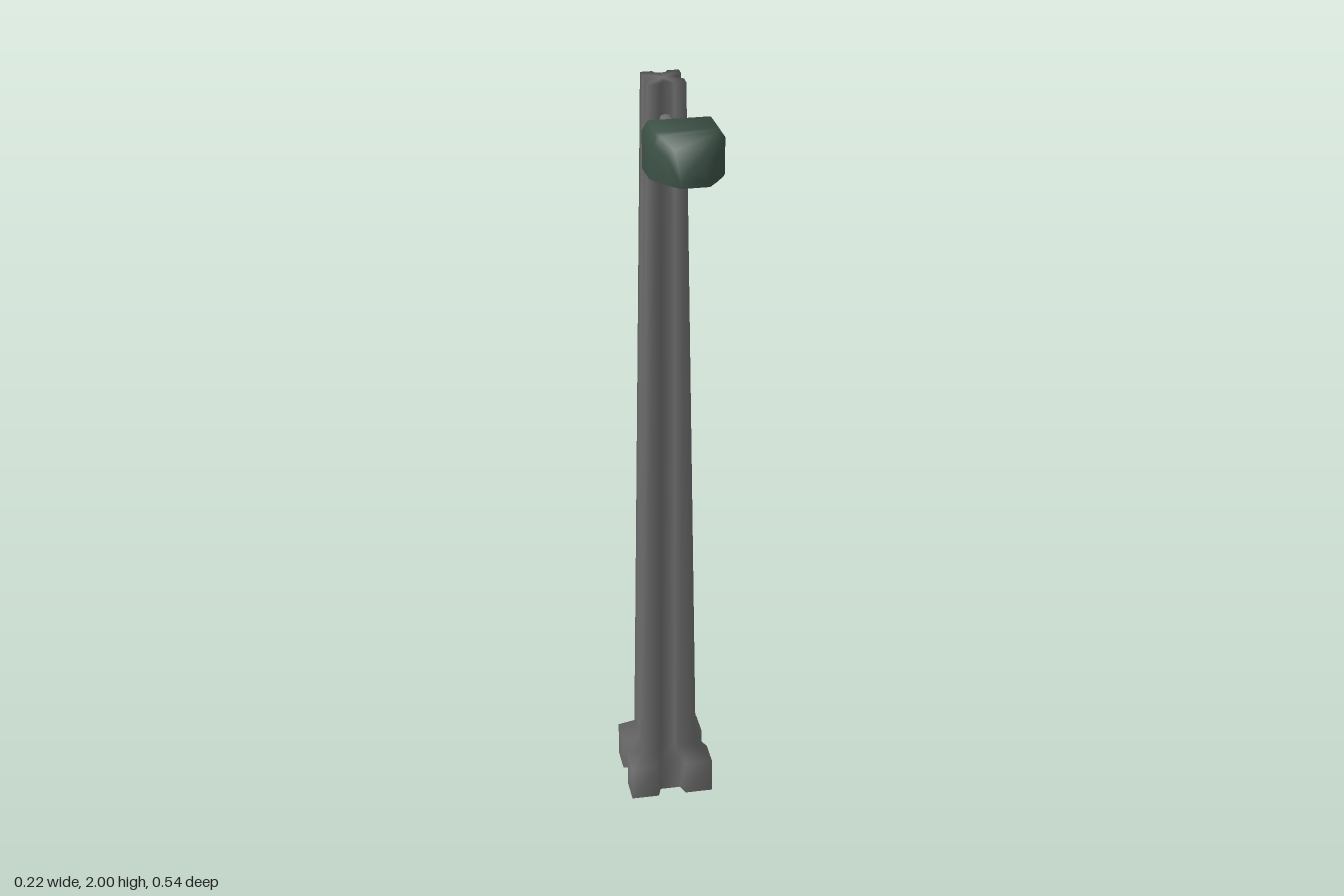
import * as THREE from 'three';
import { toCreasedNormals } from 'three/addons/utils/BufferGeometryUtils.js';

// Skin a list of closed rings (counterclockwise seen from the last ring) and cap the chosen ends.
function loft(rings, capStart = true) {
  const n = rings[0].length, last = rings.length - 1;
  const pos = [], index = [];
  rings.forEach(r => r.forEach(p => pos.push(...p)));
  for (let i = 0; i < last; i++) {
    for (let j = 0; j < n; j++) {
      const a = i * n + j, b = i * n + (j + 1) % n;
      index.push(a, b, b + n, a, b + n, a + n);
    }
  }
  (capStart ? [0, last] : [last]).forEach(i => {
    const centre = [0, 1, 2].map(k => rings[i].reduce((s, p) => s + p[k], 0) / n);
    const c = pos.length / 3;
    pos.push(...centre);
    for (let j = 0; j < n; j++) {
      const a = i * n + j, b = i * n + (j + 1) % n;
      if (i === 0) index.push(c, b, a);
      else index.push(c, a, b);
    }
  });
  const g = new THREE.BufferGeometry();
  g.setAttribute('position', new THREE.Float32BufferAttribute(pos, 3));
  g.setIndex(index);
  g.computeVertexNormals();
  return g;
}

// Square ring with a tapered groove in the middle of every side.
function poleRing(y, outer, floor, mouth, groove) {
  const side = [[-outer, outer], [-mouth, outer], [-groove, floor], [groove, floor], [mouth, outer]];
  const ring = [];
  for (let k = 0; k < 4; k++) {
    for (let [x, z] of side) {
      for (let r = 0; r < k; r++) [x, z] = [z, -x];
      ring.push([x, y, z]);
    }
  }
  return ring;
}

export function createModel() {
  const model = new THREE.Group();
  const concrete = new THREE.MeshStandardMaterial({ name: 'concrete grey', color: 0x6c6c6c, side: THREE.DoubleSide });
  const green = new THREE.MeshStandardMaterial({ name: 'dark green', color: 0x3b5045 });
  const olive = new THREE.MeshStandardMaterial({ name: 'olive', color: 0x6b6240 });

  const add = (name, geometry, material, x, y, z) => {
    const mesh = new THREE.Mesh(geometry, material);
    mesh.name = name;
    mesh.position.set(x, y, z);
    model.add(mesh);
    return mesh;
  };

  // Tapered grooved pole with flared foot, smooth shaded and hollow below
  add('pole', loft([
    poleRing(0, 0.11, 0.081, 0.037, 0.027),
    poleRing(0.095, 0.11, 0.081, 0.037, 0.027),
    poleRing(0.13, 0.072, 0.053, 0.025, 0.018),
    poleRing(2, 0.047, 0.034, 0.018, 0.012),
  ], false), concrete, 0, 0, -0.163);

  // Arm from pole to lamp
  const arm = add('arm', new THREE.CylinderGeometry(0.018, 0.018, 0.17, 12), concrete, -0.001, 1.906, -0.07);
  arm.rotation.x = Math.PI / 2;
  arm.scale.z = 0.85;

  // Lamp stations: z, half width, underside height, top height
  const stations = [
    [-0.004, 0.033, 1.860, 1.926],
    [0.066, 0.079, 1.868, 1.978],
    [0.077, 0.087, 1.870, 1.984],
    [0.173, 0.087, 1.880, 1.990],
    [0.193, 0.079, 1.882, 1.987],
    [0.235, 0.055, 1.886, 1.968],
    [0.270, 0.033, 1.890, 1.926],
  ];
  add('lampHousing', toCreasedNormals(loft(stations.map(([z, w, b, t]) => [
    [-w, b, z], [w, b, z], [w, t - 0.022, z], [w - 0.014, t, z], [-w + 0.014, t, z], [-w, t - 0.022, z],
  ])), 1.25), green, -0.007, 0, 0);

  // Thin light panel on the underside, inset from the rim
  add('lightPanel', toCreasedNormals(loft(stations.map(([z, w, b]) => {
    const v = w - 0.006, d = 0.133 + (z - 0.133) * 0.955;
    return [[-v, b - 0.002, d], [v, b - 0.002, d], [v, b + 0.003, d], [-v, b + 0.003, d]];
  })), 0.5), olive, -0.007, 0, 0);

  return model;
}
